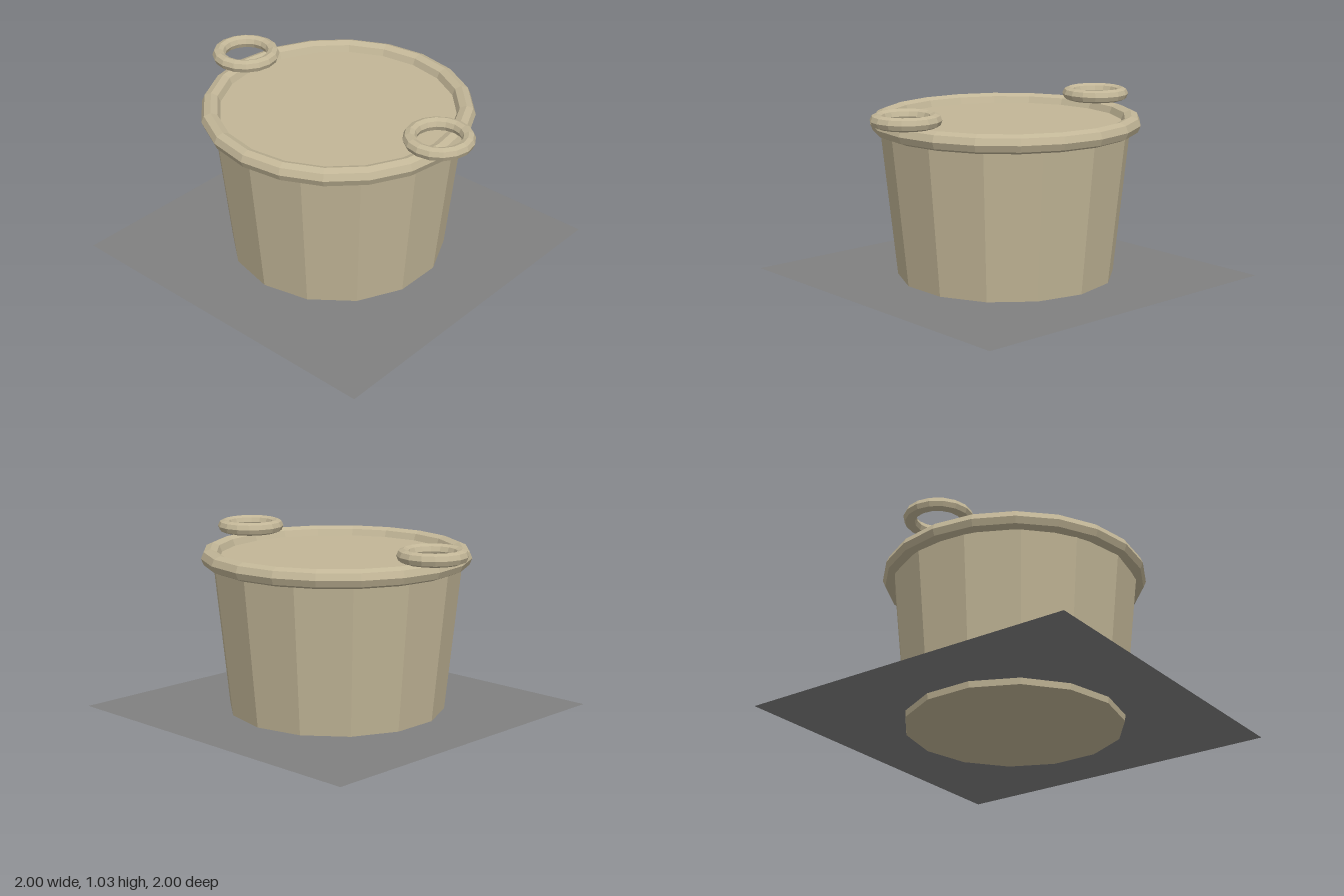
import * as THREE from 'three';

export function createModel() {
  const group = new THREE.Group();
  const clay = new THREE.MeshStandardMaterial({ color: 0xc2b697, flatShading: true });
  clay.name = 'tan';
  const floor = new THREE.MeshStandardMaterial({ color: 0x808080, side: THREE.DoubleSide });
  floor.name = 'grey';

  const add = (name, geometry, material, x, y) => {
    const mesh = new THREE.Mesh(geometry, material);
    mesh.name = name;
    mesh.position.set(x, y, 0);
    group.add(mesh);
  };
  // Ring lying flat in the xz plane
  const ring = (radius, tube, segments) =>
    new THREE.TorusGeometry(radius, tube, 8, segments).rotateX(-Math.PI / 2);

  // Square base sheet, slightly above the underside of the tub
  add('basePlane', new THREE.PlaneGeometry(2, 2).rotateX(-Math.PI / 2), floor, 0, 0.035);

  // Tapered, closed tub with a rolled rim
  add('tub', new THREE.CylinderGeometry(0.705, 0.61, 0.908, 14), clay, 0, 0.454);
  add('rim', ring(0.705, 0.052, 20), clay, 0, 0.908);

  // A ring handle on each side
  for (const [name, side] of [['leftHandle', 1], ['rightHandle', -1]]) {
    add(name, ring(0.156, 0.037, 16), clay, side * 0.706, 0.994);
  }
  return group;
}
